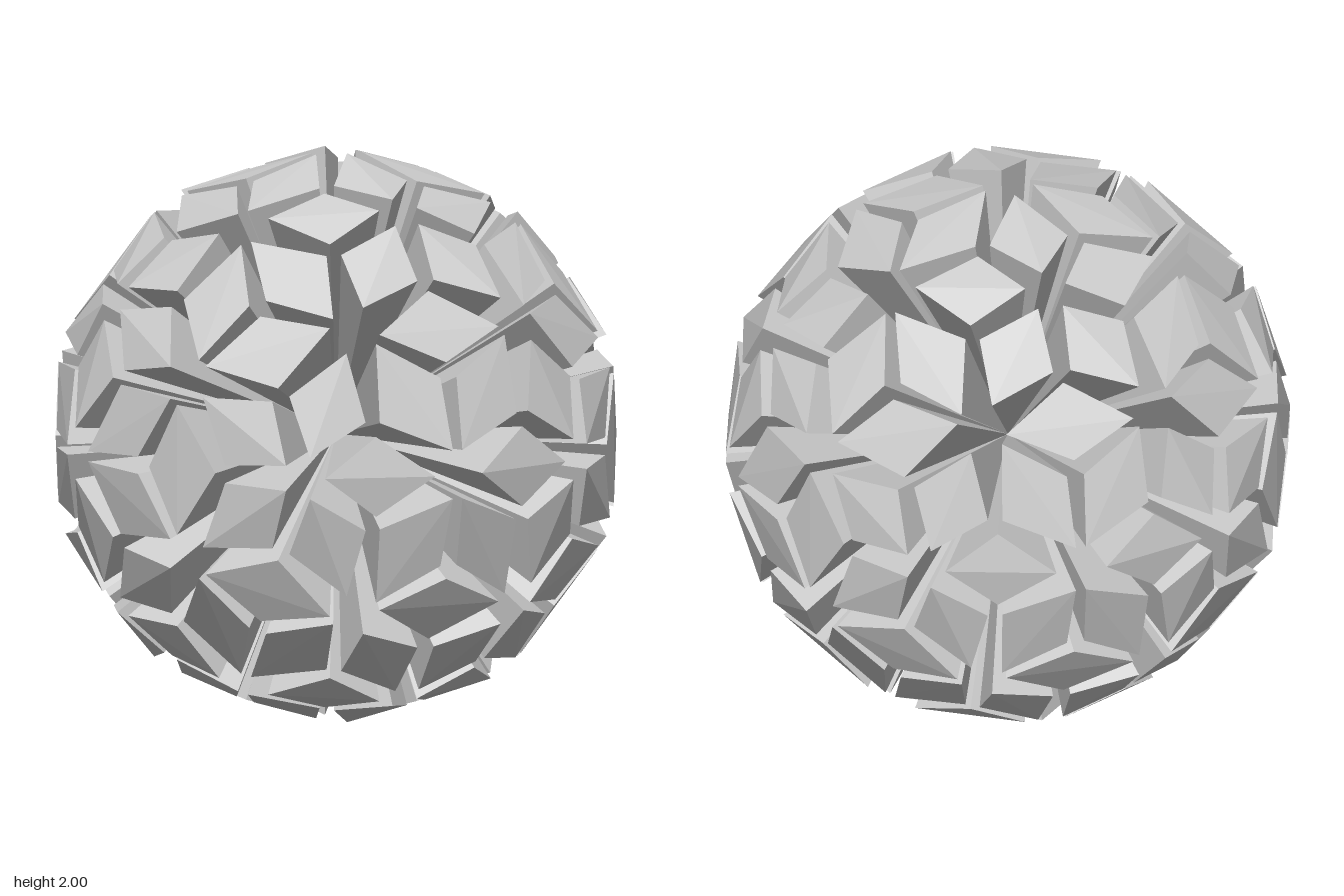
import * as THREE from 'three';

const V = (x, y, z) => new THREE.Vector3(x, y, z);

// Spike with its tip at the centre and a roofed rhombus on top; the ridge joins corners 0 and 2.
function spikeGeometry(corners) {
  const [a, b, c, d] = corners;
  const points = [a, b, c, a, c, d];
  corners.forEach((p, i) => points.push(corners[(i + 1) % 4], p, V(0, 0, 0)));
  const geometry = new THREE.BufferGeometry().setFromPoints(points);
  geometry.computeVertexNormals();
  return geometry;
}

// The 60 rotations of an icosahedron, grown from a five-fold and a three-fold turn.
function icosahedralRotations() {
  const phi = (1 + Math.sqrt(5)) / 2;
  const turns = [
    new THREE.Quaternion().setFromAxisAngle(V(1, 0, phi).normalize(), Math.PI * 2 / 5),
    new THREE.Quaternion().setFromAxisAngle(V(1, 1, 1).normalize(), Math.PI * 2 / 3),
  ];
  const found = [new THREE.Quaternion()];
  for (let i = 0; i < found.length && found.length < 61; i++) {
    for (const turn of turns) {
      const q = turn.clone().multiply(found[i]).normalize();
      if (!found.some((f) => Math.abs(f.dot(q)) > 0.999)) found.push(q);
    }
  }
  return found;
}

export function createModel() {
  const model = new THREE.Group();
  model.name = 'rhombicSpikeBall';
  const material = new THREE.MeshStandardMaterial({ color: 0xcccccc, flatShading: true });

  // Wide spikes stand in threes, narrow spikes in rings of five
  const kinds = {
    wideSpike: spikeGeometry([
      V(0.228, 0.483, 0.837), V(0, 0.61, 0.75), V(-0.228, 0.483, 0.837), V(0, 0.38, 0.895),
    ]),
    narrowSpike: spikeGeometry([
      V(0.09, 0, 0.998), V(0.28, -0.14, 0.92), V(0.46, 0, 0.888), V(0.28, 0.14, 0.92),
    ]),
  };

  const rotations = icosahedralRotations();
  for (const [name, geometry] of Object.entries(kinds)) {
    const set = new THREE.Group();
    set.name = name + 's';
    set.position.y = 1;
    for (const q of rotations) {
      const spike = new THREE.Mesh(geometry, material);
      spike.name = name;
      spike.quaternion.copy(q);
      set.add(spike);
    }
    model.add(set);
  }
  return model;
}
